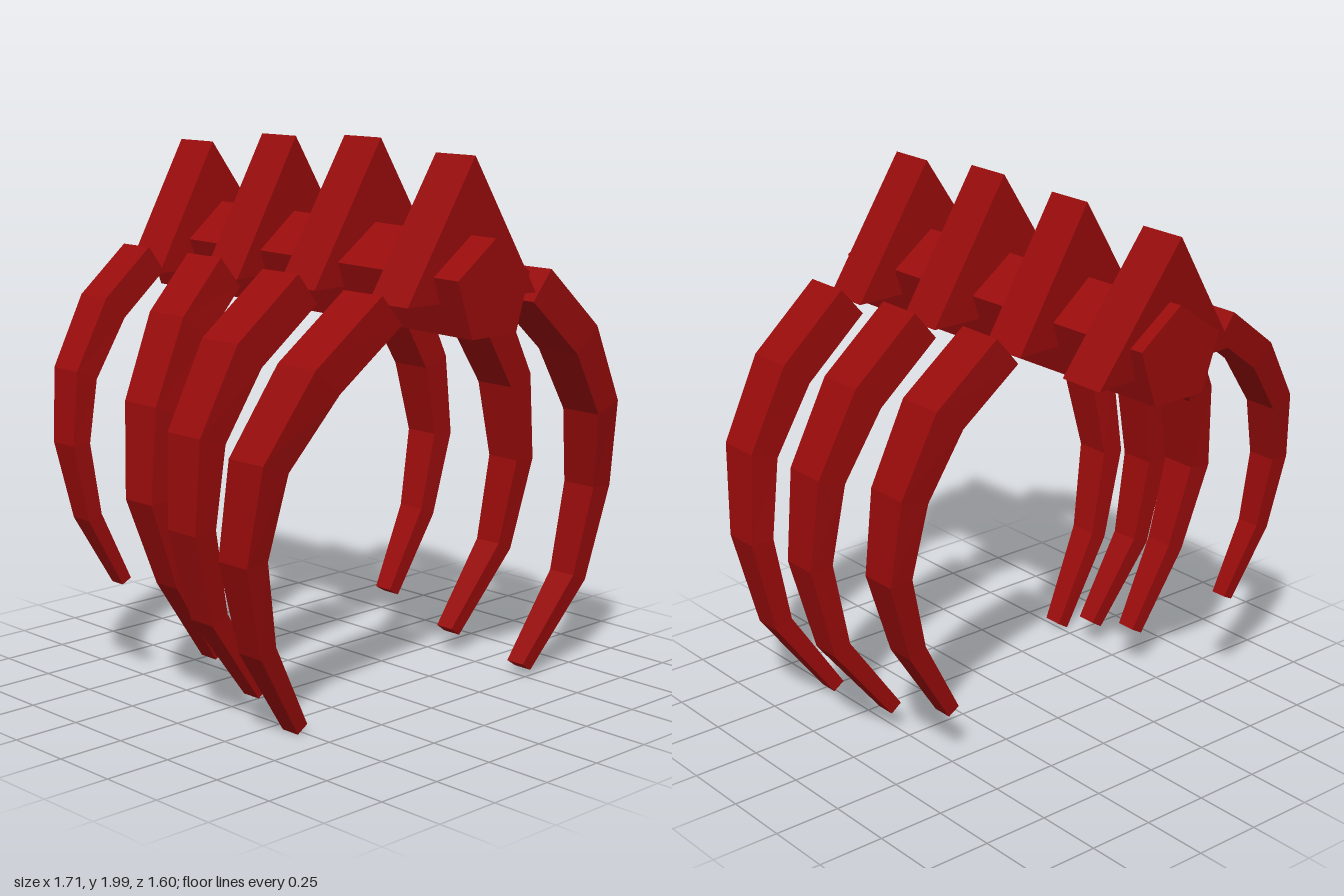
import * as THREE from 'three';

const material = new THREE.MeshStandardMaterial({ color: 0x990b0b, flatShading: true });

// Skin a closed solid through cross-sections (arrays of Vector3 of equal length).
function loft(name, sections) {
  const tris = [];
  const n = sections[0].length;
  for (let s = 0; s < sections.length - 1; s++) {
    for (let i = 0; i < n; i++) {
      const j = (i + 1) % n;
      const [a, b, c, d] = [sections[s][i], sections[s][j], sections[s + 1][j], sections[s + 1][i]];
      tris.push([a, b, c], [a, c, d]);
    }
  }
  const first = sections[0], last = sections[sections.length - 1];
  for (let i = 1; i < n - 1; i++) {
    tris.push([first[0], first[i + 1], first[i]], [last[0], last[i], last[i + 1]]);
  }
  // Turn all faces outward if the sections run the other way round.
  let volume = 0;
  for (const [a, b, c] of tris) volume += a.dot(b.clone().cross(c));
  const points = tris.flatMap(([a, b, c]) => (volume < 0 ? [a, c, b] : [a, b, c]));
  const geometry = new THREE.BufferGeometry().setFromPoints(points);
  geometry.computeVertexNormals();
  const mesh = new THREE.Mesh(geometry, material);
  mesh.name = name;
  return mesh;
}

// Prism along z whose end outlines are the given corners shifted by +-halfDepth.
function prism(name, corners, halfDepth, rise = 0) {
  return loft(name, [1, -1].map((side) =>
    corners.map(([x, y, z]) => new THREE.Vector3(x, y - side * rise, z + side * halfDepth))));
}

// Tapered rectangular rib following six centre points.
const RIB_THICKNESS = [0.07, 0.07, 0.058, 0.046, 0.037, 0.026];
const RIB_DEPTH = [0.09, 0.09, 0.083, 0.07, 0.056, 0.038];
function rib(name, path, scale = 1) {
  const pts = path.map((p) => new THREE.Vector3(...p));
  return loft(name, pts.map((p, i) => {
    const before = pts[Math.max(i - 1, 0)], after = pts[Math.min(i + 1, pts.length - 1)];
    const tangent = after.clone().sub(before);
    const across = new THREE.Vector3(-tangent.y, tangent.x, 0).setLength(RIB_THICKNESS[i] * scale);
    const depth = new THREE.Vector3(0, 0, RIB_DEPTH[i] * scale);
    return [[1, 1], [-1, 1], [-1, -1], [1, -1]].map(([u, v]) =>
      p.clone().addScaledVector(across, u).addScaledVector(depth, v));
  }));
}

export function createModel() {
  const model = new THREE.Group();
  model.name = 'ribcage';

  // Five-sided spine, rising slightly toward the back
  model.add(prism('spine', [
    [-0.03, 1.715, 0], [-0.21, 1.59, 0], [-0.14, 1.39, 0], [0.075, 1.39, 0], [0.14, 1.59, 0],
  ], 0.8, 0.013));

  // Triangular vertebrae: right base corner, left base corner, apex
  const vertebrae = [
    [[-0.33, 1.49, 0.6], [0.3, 1.48, 0.6], [-0.015, 1.965, 0.6]],
    [[-0.32, 1.5, 0.15], [0.31, 1.5, 0.15], [-0.005, 2.0, 0.15]],
    [[-0.33, 1.5, -0.235], [0.295, 1.51, -0.29], [-0.015, 1.985, -0.27]],
    [[-0.37, 1.49, -0.615], [0.265, 1.48, -0.65], [-0.055, 1.945, -0.68]],
  ];
  vertebrae.forEach((corners, i) => model.add(prism(`vertebra${i + 1}`, corners, 0.09)));

  // Left ribs, front to back (the last one is missing)
  const leftRibs = [
    [[0.335, 1.5, 0.6], [0.59, 1.28, 0.595], [0.75, 1.01, 0.575],
      [0.795, 0.7, 0.53], [0.725, 0.355, 0.505], [0.51, 0.04, 0.46]],
    [[0.35, 1.525, 0.15], [0.6, 1.315, 0.15], [0.765, 1.05, 0.14],
      [0.81, 0.735, 0.14], [0.735, 0.4, 0.125], [0.51, 0.095, 0.1]],
    [[0.34, 1.54, -0.28], [0.57, 1.345, -0.26], [0.7, 1.08, -0.24],
      [0.745, 0.79, -0.23], [0.655, 0.49, -0.21], [0.48, 0.195, -0.2]],
  ];
  leftRibs.forEach((path, i) => model.add(rib(`leftRib${i + 1}`, path)));

  // Right ribs, front to back; the last is shorter and thinner
  const rightRibs = [
    [[-0.355, 1.48, 0.555], [-0.605, 1.27, 0.515], [-0.775, 1.0, 0.46],
      [-0.81, 0.68, 0.42], [-0.715, 0.35, 0.38], [-0.505, 0.02, 0.335]],
    [[-0.355, 1.51, 0.155], [-0.61, 1.31, 0.145], [-0.765, 1.04, 0.14],
      [-0.79, 0.73, 0.14], [-0.71, 0.41, 0.13], [-0.505, 0.1, 0.135]],
    [[-0.36, 1.53, -0.235], [-0.57, 1.36, -0.18], [-0.73, 1.1, -0.13],
      [-0.77, 0.79, -0.11], [-0.66, 0.48, -0.115], [-0.48, 0.175, -0.12]],
    [[-0.39, 1.545, -0.59], [-0.6, 1.39, -0.565], [-0.755, 1.17, -0.53],
      [-0.8, 0.93, -0.5], [-0.75, 0.66, -0.485], [-0.615, 0.4, -0.47]],
  ];
  rightRibs.forEach((path, i) => model.add(rib(`rightRib${i + 1}`, path, i === 3 ? 0.8 : 1)));

  return model;
}
